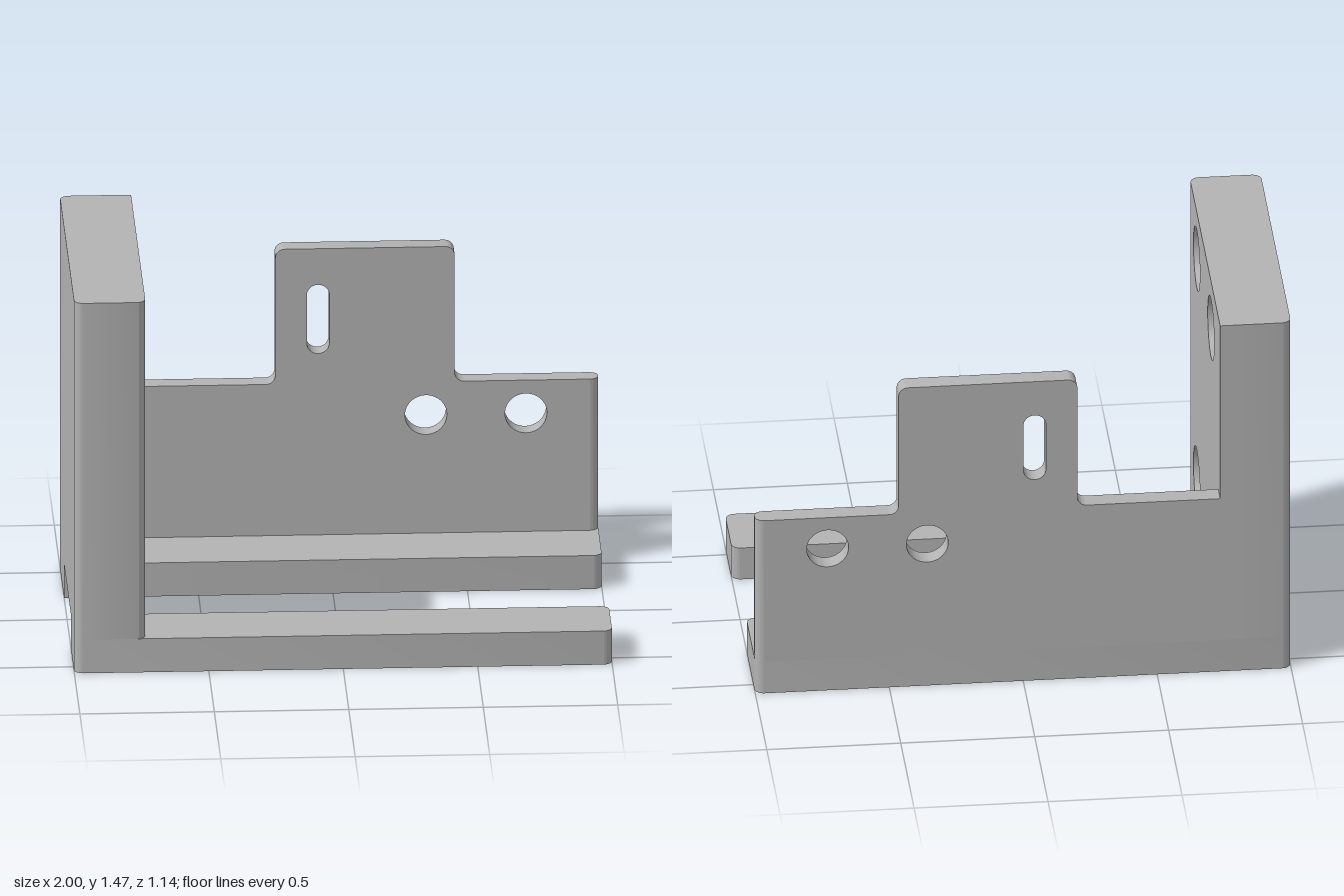
import * as THREE from 'three';
import { toCreasedNormals } from 'three/addons/utils/BufferGeometryUtils.js';

const R = 0.035; // common corner radius

// Outline from [x, y, cornerRadius] points, given counter-clockwise
function outline(points) {
  const shape = new THREE.Shape();
  const n = points.length;
  const K = 0.5523;
  points.forEach(([x, y, r = 0], i) => {
    const corner = new THREE.Vector2(x, y);
    const toward = (p) => new THREE.Vector2(p[0], p[1]).sub(corner).normalize();
    const a = toward(points[(i + n - 1) % n]);
    const b = toward(points[(i + 1) % n]);
    const at = (dir, d) => corner.clone().addScaledVector(dir, d);
    const start = at(a, r);
    if (i === 0) shape.moveTo(start.x, start.y);
    else shape.lineTo(start.x, start.y);
    if (r > 0) {
      const c1 = at(a, r * (1 - K)), c2 = at(b, r * (1 - K)), end = at(b, r);
      shape.bezierCurveTo(c1.x, c1.y, c2.x, c2.y, end.x, end.y);
    }
  });
  shape.closePath();
  return shape;
}

function circleHole(x, y, r) {
  const path = new THREE.Path();
  path.absarc(x, y, r, 0, Math.PI * 2, true);
  return path;
}

function slotHole(x, y0, y1, r) {
  const path = new THREE.Path();
  path.absarc(x, y1 - r, r, 0, Math.PI, false);
  path.absarc(x, y0 + r, r, Math.PI, Math.PI * 2, false);
  path.closePath();
  return path;
}

function extrude(shape, depth) {
  return new THREE.ExtrudeGeometry(shape, { depth, bevelEnabled: false, curveSegments: 24 });
}

export function createModel() {
  const group = new THREE.Group();
  group.name = 'mountingBracket';
  const grey = new THREE.MeshStandardMaterial({ color: 0xb3b3b3 });
  grey.name = 'grey';

  function add(name, geometry) {
    const mesh = new THREE.Mesh(toCreasedNormals(geometry, 0.6), grey);
    mesh.name = name;
    group.add(mesh);
  }

  // Extrudes a plan outline, drawn in (x, -z), from y0 up to y1
  function addPlan(name, points, y0, y1) {
    add(name, extrude(outline(points), y1 - y0).rotateX(-Math.PI / 2).translate(0, y0, 0));
  }

  const left = -1, right = 1, wallX = -0.735, pocketX = -0.802;
  const half = 0.57, railTop = 0.133, wallTop = 1.467;
  const plateFront = -0.497, stripZ = 0.52;

  // Two floor rails
  addPlan('frontRail', [
    [left, -half, R], [right, -half, R], [right, -0.307, R], [left, -0.307],
  ], 0, railTop);
  addPlan('backRail', [
    [left, 0.23], [right, 0.23, R], [right, half, R], [left, half, R],
  ], 0, railTop);

  // Thick end wall, with its inner face recessed to take the pocketed layer
  addPlan('endWall', [
    [left, -half, R], [wallX, -half, R], [wallX, -stripZ],
    [pocketX, -stripZ], [pocketX, half], [left, half, R],
  ], railTop, wallTop);

  // Inner layer whose round holes become four shallow pockets
  const face = outline([
    [-stripZ, railTop], [half, railTop], [half, wallTop], [-stripZ, wallTop],
  ]);
  for (const z of [0.308, -0.225]) {
    for (const y of [0.335, 1.268]) face.holes.push(circleHole(-z, y, 0.122));
  }
  add('pocketedWallFace',
    extrude(face, wallX - pocketX).rotateY(Math.PI / 2).translate(pocketX, 0, 0));

  // Thin back plate with a raised tab, a slot and two round holes
  const plateEnd = right - R;
  const plateTop = 0.733, tabTop = 1.268;
  const plate = outline([
    [wallX, railTop], [plateEnd, railTop], [plateEnd, plateTop],
    [0.465, plateTop, R], [0.465, tabTop, R], [-0.202, tabTop, R],
    [-0.202, plateTop, R], [wallX, plateTop],
  ]);
  plate.holes.push(
    slotHole(-0.043, 0.852, 1.125, 0.042),
    circleHole(0.358, 0.602, 0.078),
    circleHole(0.73, 0.602, 0.078),
  );
  add('backPlate', extrude(plate, plateFront + half).translate(0, 0, -half));

  // Rounded free end of the back plate
  addPlan('backPlateEnd', [
    [plateEnd, -plateFront], [right, -plateFront, R - 0.001],
    [right, half, R - 0.001], [plateEnd, half],
  ], railTop, plateTop);

  return group;
}
